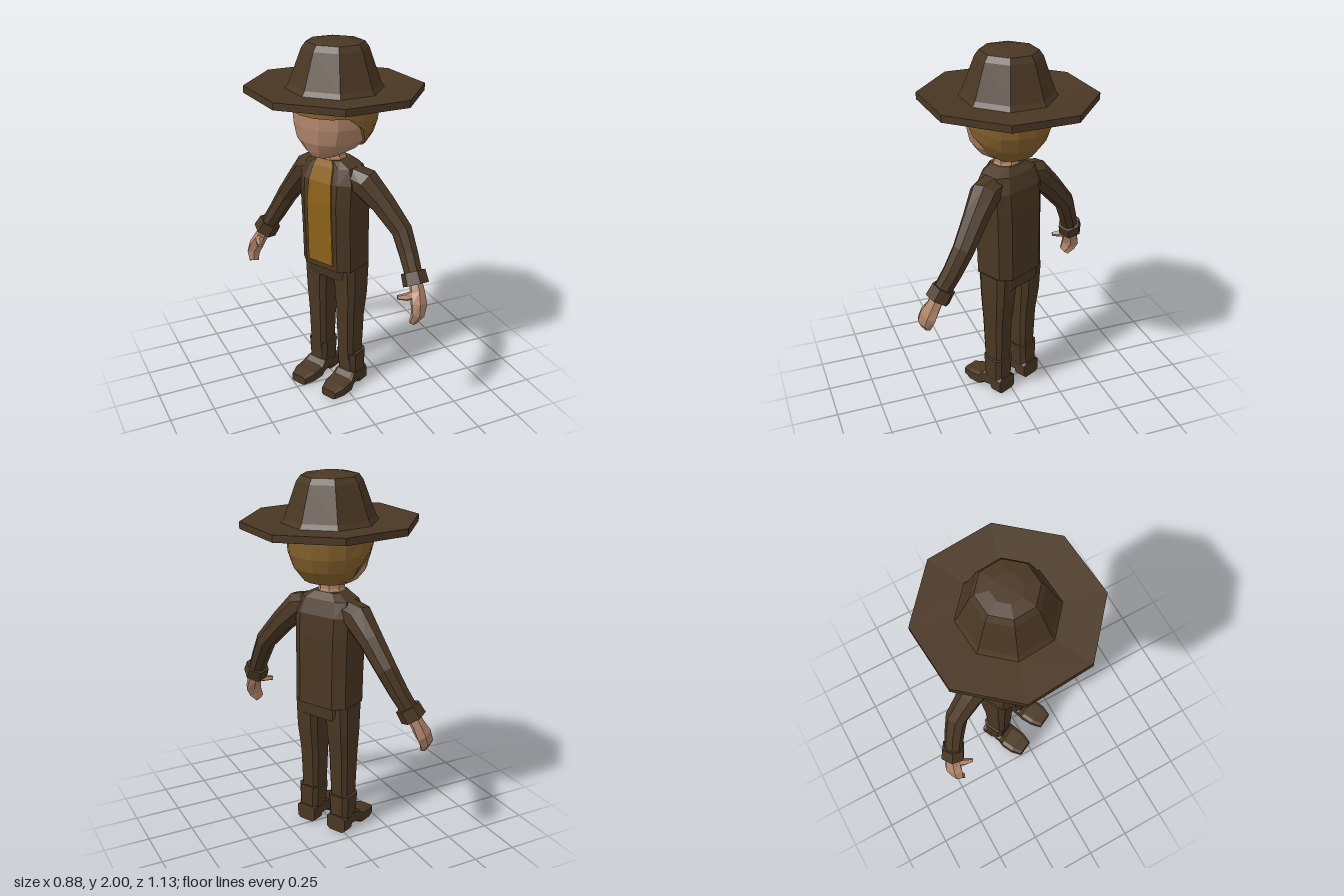
import * as THREE from 'three';

const flat = (name, color) => new THREE.MeshStandardMaterial({ name, color, flatShading: true });
const V = (a) => new THREE.Vector3(a[0], a[1], a[2]);

// Skin consecutive rings of points and cap both ends
function skin(rings) {
  const n = rings[0].length, pos = [], idx = [];
  rings.forEach((r) => r.forEach((p) => pos.push(p.x, p.y, p.z)));
  for (let i = 0; i < rings.length - 1; i++) {
    for (let j = 0; j < n; j++) {
      const a = i * n + j, b = i * n + (j + 1) % n;
      idx.push(a, b, b + n, a, b + n, a + n);
    }
  }
  [0, rings.length - 1].forEach((k, end) => {
    const c = new THREE.Vector3();
    rings[k].forEach((p) => c.addScaledVector(p, 1 / n));
    const ci = pos.length / 3;
    pos.push(c.x, c.y, c.z);
    for (let j = 0; j < n; j++) {
      const a = k * n + j, b = k * n + (j + 1) % n;
      if (end) idx.push(ci, a, b); else idx.push(ci, b, a);
    }
  });
  const g = new THREE.BufferGeometry();
  g.setAttribute('position', new THREE.Float32BufferAttribute(pos, 3));
  g.setIndex(idx);
  g.computeVertexNormals();
  return g;
}

// Loft along [x, y, z, halfWidth, halfDepth] stations; pow < 1 squares the section.
// Without a fixed axis, each section is square to the path.
function loft(stations, { n = 8, pow = 1, axis = null } = {}) {
  const pts = stations.map(V);
  return skin(stations.map((s, i) => {
    const d = axis ? V(axis)
      : pts[Math.min(i + 1, pts.length - 1)].clone().sub(pts[Math.max(i - 1, 0)]).normalize();
    const ref = Math.abs(d.z) > 0.9 ? V([0, 1, 0]) : V([0, 0, 1]);
    const u = d.clone().cross(ref).normalize(), v = u.clone().cross(d);
    const sq = (t) => Math.sign(t) * Math.pow(Math.abs(t), pow);
    return Array.from({ length: n }, (_, j) => {
      const a = (j + 0.5) / n * Math.PI * 2;
      return pts[i].clone().addScaledVector(u, s[3] * sq(Math.cos(a)))
        .addScaledVector(v, -s[4] * sq(Math.sin(a)));
    });
  }));
}

export function createModel() {
  const brown = flat('brownCloth', 0x4a3724), skinTone = flat('skin', 0xb0856a);
  const gold = flat('hairGold', 0x84602c), ochre = flat('shirtOchre', 0x8c6118);
  const model = new THREE.Group();
  model.name = 'figure';
  const body = new THREE.Group();
  body.name = 'body';
  body.rotation.y = -1.11; // the figure stands turned to its right
  body.position.z = -0.02;
  model.add(body);
  const add = (name, geo, mat) => {
    const m = new THREE.Mesh(geo, mat);
    m.name = name;
    body.add(m);
    return m;
  };
  const Y = [0, 1, 0], Z = [0, 0, 1];

  // Jacket and hips
  add('jacket', loft([
    [0, 0.765, -0.01, 0.172, 0.13], [0, 0.95, -0.005, 0.172, 0.132], [0, 1.15, 0, 0.176, 0.135],
    [0, 1.27, 0, 0.178, 0.125], [0, 1.35, 0, 0.15, 0.095], [0, 1.385, 0.01, 0.085, 0.07],
  ], { pow: 0.5, axis: Y }), brown);
  add('hips', loft([[0, 0.69, -0.02, 0.165, 0.1], [0, 0.78, -0.015, 0.168, 0.115]],
    { pow: 0.5, axis: Y }), brown);

  // Shirt strip in the jacket opening
  add('shirtFront', loft([
    [0, 0.8, 0.121, 0.082, 0.005], [0, 0.95, 0.126, 0.082, 0.005], [0, 1.15, 0.133, 0.08, 0.005],
    [0, 1.27, 0.123, 0.075, 0.005], [0, 1.35, 0.096, 0.065, 0.005], [0, 1.385, 0.08, 0.05, 0.005],
  ], { n: 4, pow: 0.01, axis: Y }), ochre);

  // Neck and head
  add('neck', loft([[0, 1.36, 0.015, 0.085, 0.08], [0, 1.4, 0.015, 0.07, 0.068],
    [0, 1.47, 0.015, 0.072, 0.07]], { axis: Y }), skinTone);
  add('head', loft([
    [0, 1.415, 0.07, 0.07, 0.09], [0, 1.445, 0.03, 0.125, 0.15], [0, 1.5, 0.015, 0.175, 0.19],
    [0, 1.58, 0.01, 0.2, 0.203], [0, 1.66, 0.01, 0.205, 0.2], [0, 1.73, 0, 0.19, 0.19],
  ], { n: 12, pow: 0.9, axis: Y }), skinTone);

  // Hair cap: short fringe at the front, full length at the back
  const hem = (f) => (f > 0.3 ? 1.645 : f > -0.1 ? 1.58 : f > -0.45 ? 1.48 : 1.445);
  const hairR = (y) => 0.227 * Math.sqrt(1 - (Math.min(y - 1.64, 0) / 0.25) ** 2);
  const hairRings = [0, 0, 0.25, 0.5, 0.75, 1].map((t, i) => Array.from({ length: 16 }, (_, j) => {
    const a = (j + 0.5) / 16 * Math.PI * 2;
    const y = THREE.MathUtils.lerp(hem(-Math.sin(a)), 1.735, t);
    const r = hairR(y) * (i === 0 ? 0.82 : 1);
    return new THREE.Vector3(r * Math.cos(a), y, -r * Math.sin(a));
  }));
  add('hair', skin(hairRings), gold);

  // Eight-sided wide-brimmed hat, tipped slightly back
  const profile = [[0, 1.72], [0.24, 1.717], [0.465, 1.728], [0.465, 1.765], [0.255, 1.75],
    [0.238, 1.775], [0.172, 1.955], [0.15, 1.985], [0.08, 1.998], [0, 2.0]];
  const hat = add('hat', new THREE.LatheGeometry(
    profile.map(([r, y]) => new THREE.Vector2(r, y - 1.74)), 8), brown);
  hat.position.y = 1.74;
  hat.rotation.x = -0.02;

  for (const s of [1, -1]) {
    const side = s > 0 ? 'left' : 'right';
    const m = (list) => list.map(([x, ...rest]) => [x * s, ...rest]);

    // Sleeve and cuff
    add(side + 'Sleeve', loft(m([
      [0.1, 1.3, 0, 0.062, 0.085], [0.19, 1.27, -0.015, 0.082, 0.085],
      [0.29, 1.17, -0.04, 0.066, 0.07], [0.4, 1.04, -0.06, 0.057, 0.06],
      [0.46, 0.93, -0.04, 0.052, 0.054], [0.525, 0.815, -0.01, 0.046, 0.05],
    ]), { n: 8 }), brown);
    add(side + 'Cuff', loft(m([[0.505, 0.85, -0.02, 0.066, 0.066],
      [0.537, 0.79, -0.005, 0.07, 0.07]]), { n: 6 }), brown);

    // Hand with curled fingers and thumb
    add(side + 'Hand', loft(m([
      [0.53, 0.805, -0.008, 0.035, 0.038], [0.555, 0.755, 0.005, 0.036, 0.045],
      [0.58, 0.7, 0.025, 0.036, 0.06], [0.588, 0.65, 0.045, 0.03, 0.052],
      [0.57, 0.605, 0.062, 0.018, 0.035],
    ]), { n: 6 }), skinTone);
    add(side + 'Thumb', loft(m([[0.56, 0.755, 0.015, 0.028, 0.028],
      [0.525, 0.74, 0.06, 0.022, 0.022], [0.488, 0.738, 0.092, 0.012, 0.012]]), { n: 5 }), skinTone);

    // Trouser leg
    add(side + 'Leg', loft(m([
      [0.1, 0.18, -0.012, 0.055, 0.065], [0.1, 0.45, -0.012, 0.063, 0.076],
      [0.102, 0.6, -0.018, 0.071, 0.09], [0.098, 0.77, -0.018, 0.078, 0.1],
    ]), { pow: 0.5, axis: Y }), brown);

    // Boot shaft and shoe
    add(side + 'BootShaft', loft(m([[0.105, 0.06, -0.02, 0.062, 0.066],
      [0.105, 0.11, -0.02, 0.063, 0.066], [0.103, 0.22, -0.018, 0.07, 0.07]]),
    { pow: 0.5, axis: Y }), brown);
    add(side + 'Shoe', loft(m([
      [0.105, 0.05, -0.09, 0.062, 0.05], [0.105, 0.052, -0.025, 0.064, 0.052],
      [0.105, 0.068, -0.015, 0.062, 0.044], [0.107, 0.062, 0.04, 0.066, 0.044],
      [0.11, 0.04, 0.07, 0.072, 0.04], [0.112, 0.034, 0.14, 0.07, 0.034],
      [0.112, 0.027, 0.2, 0.05, 0.025],
    ]), { pow: 0.4, axis: Z }), brown);
  }
  return model;
}
